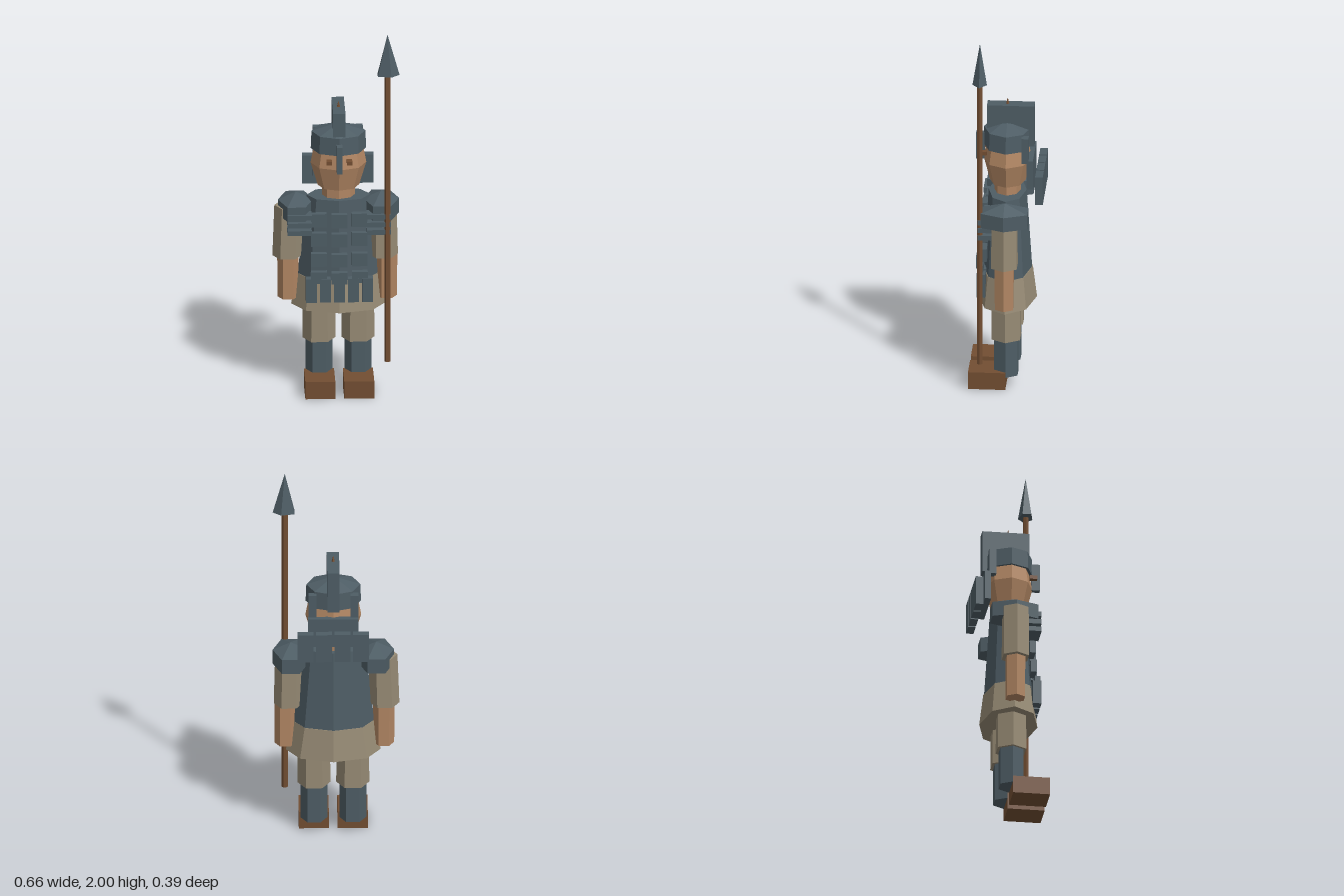
import * as THREE from 'three';

const paint = (name, color) => {
  const m = new THREE.MeshStandardMaterial({ color });
  m.name = name;
  return m;
};

export function createModel() {
  const steel = paint('steel', 0x4e5d65);
  const cloth = paint('cloth', 0x978b75);
  const skin = paint('skin', 0xb18663);
  const leather = paint('leather', 0x724e32);
  const CX = 0.013; // body axis

  const model = new THREE.Group();
  model.name = 'soldier';

  const add = (name, geometry, material, parent = model) => {
    const g = geometry.index ? geometry.toNonIndexed() : geometry;
    g.computeVertexNormals(); // faceted normals
    const mesh = new THREE.Mesh(g, material);
    mesh.name = name;
    parent.add(mesh);
    return mesh;
  };

  // Box given by its limits on each axis
  const box = (name, mat, x0, x1, y0, y1, z0, z1, parent) =>
    add(name, new THREE.BoxGeometry(x1 - x0, y1 - y0, z1 - z0)
      .translate((x0 + x1) / 2, (y0 + y1) / 2, (z0 + z1) / 2), mat, parent);

  // Faceted prism with a corner on +x, flattened in z, optionally leaning in x
  const prism = (name, mat, sides, rBot, rTop, y0, y1, x, { z = 0, flat = 1, lean = 0, parent } = {}) => {
    const g = new THREE.CylinderGeometry(rTop, rBot, y1 - y0, sides)
      .rotateY(Math.PI / 2).scale(1, 1, flat);
    const p = g.attributes.position;
    for (let i = 0; i < p.count; i++) if (p.getY(i) > 0) p.setX(i, p.getX(i) + lean);
    return add(name, g.translate(x, (y0 + y1) / 2, z), mat, parent);
  };

  const group = (name) => {
    const g = new THREE.Group();
    g.name = name;
    model.add(g);
    return g;
  };

  // Legs and shoes
  for (const [side, s] of [['left', 1], ['right', -1]]) {
    const leg = group(side + 'Leg');
    const x = CX + s * 0.101;
    box('shoe', leather, x - 0.078, x + 0.078, 0, 0.095, 0, 0.194, leg);
    prism('greave', steel, 6, 0.07, 0.07, 0.065, 0.275, x, { parent: leg });
    prism('trouser', cloth, 6, 0.086, 0.084, 0.27, 0.52, x, { parent: leg });
  }

  // Tunic hem, breastplate and neck
  prism('tunicHem', cloth, 8, 0.246, 0.212, 0.46, 0.63, CX, { flat: 0.62 });
  prism('breastplate', steel, 8, 0.212, 0.165, 0.63, 1.065, CX, { flat: 0.6 });
  prism('neck', skin, 8, 0.085, 0.085, 1.05, 1.14, CX, { flat: 0.82 });

  // Square armour plates on the chest, stepping out towards the belt
  const plates = group('chestPlates');
  const rows = [[0.926, 1.0, 0.132], [0.822, 0.895, 0.138], [0.712, 0.783, 0.144], [0.625, 0.688, 0.163]];
  for (const [y0, y1, front] of rows) {
    for (const c of [-1, 0, 1]) {
      const x = CX + c * 0.106;
      const z = front - Math.abs(c) * 0.015;
      box('plate', steel, x - 0.041, x + 0.041, y0, y1, z - 0.03, z, plates);
    }
  }

  // Hanging strips below the belt
  const strips = group('beltStrips');
  for (let i = -2; i <= 2; i++) {
    const x = CX + i * 0.073;
    box('strip', steel, x - 0.028, x + 0.028, 0.52, 0.65, 0.105, 0.15, strips);
  }

  // Shoulders: domed guards and three narrow bars on each side
  for (const [side, s] of [['left', 1], ['right', -1]]) {
    const shoulder = group(side + 'Shoulder');
    const x = CX + s * 0.222;
    const flat = 1.5;
    prism('guardRim', steel, 6, 0.093, 0.093, 0.96, 1.04, x, { flat, parent: shoulder });
    prism('guardDome', steel, 6, 0.093, 0.001, 1.04, 1.083, x, { flat, parent: shoulder });
    const bx = CX + s * 0.206;
    for (const y of [0.902, 0.944, 0.987]) {
      box('bar', steel, bx - 0.063, bx + 0.063, y - 0.013, y + 0.013, 0.066, 0.137, shoulder);
    }
  }

  // Arms
  for (const [side, x, lean] of [['left', 0.245, -0.005], ['right', -0.253, 0.008]]) {
    const arm = group(side + 'Arm');
    prism('sleeve', cloth, 6, 0.077, 0.075, 0.73, 1.01, x, { lean, parent: arm });
    prism('forearm', skin, 6, 0.054, 0.056, 0.5, 0.745, x + (x > 0 ? 0.018 : 0.004), { parent: arm });
  }

  // Head: jaw and brow, with eyes
  const head = group('head');
  prism('jaw', skin, 8, 0.108, 0.145, 1.12, 1.245, CX, { flat: 0.86, parent: head });
  prism('brow', skin, 8, 0.145, 0.128, 1.245, 1.335, CX, { flat: 0.86, parent: head });
  for (const s of [-1, 1]) {
    const x = CX + s * 0.053;
    box('eye', leather, x - 0.014, x + 0.014, 1.281, 1.301, 0.105, 0.143, head);
  }

  // Helmet
  const helmet = group('helmet');
  prism('helmetBand', steel, 8, 0.144, 0.14, 1.325, 1.42, CX, { flat: 0.88, parent: helmet });
  prism('helmetDome', steel, 8, 0.14, 0.001, 1.42, 1.465, CX, { flat: 0.88, parent: helmet });
  box('crest', steel, -0.018, 0.046, 1.325, 1.553, -0.14, 0.106, helmet);
  prism('crestSpike', leather, 5, 0.01, 0.001, 1.55, 1.583, CX, { parent: helmet });
  box('noseGuard', steel, -0.001, 0.028, 1.24, 1.388, 0.12, 0.164, helmet);
  for (const s of [-1, 1]) {
    const x = CX + s * 0.109;
    box('sidePlate', steel, x - 0.021, x + 0.021, 1.27, 1.41, -0.117, -0.08, helmet);
  }
  box('neckGuard', steel, -0.116, 0.145, 1.125, 1.285, -0.14, -0.108, helmet);
  for (const i of [-1.5, -0.5, 0.5, 1.5]) {
    const x = 0.016 + i * 0.096;
    box('neckFlap', steel, x - 0.042, x + 0.042, 1.065, 1.222, -0.196, -0.156, helmet);
  }

  // Spear
  const spear = group('spear');
  prism('shaft', leather, 6, 0.016, 0.016, 0.18, 1.79, 0.263, { z: 0.127, parent: spear });
  prism('spearhead', steel, 5, 0.063, 0, 1.775, 2, 0.263, { z: 0.126, flat: 0.63, parent: spear });

  return model;
}
